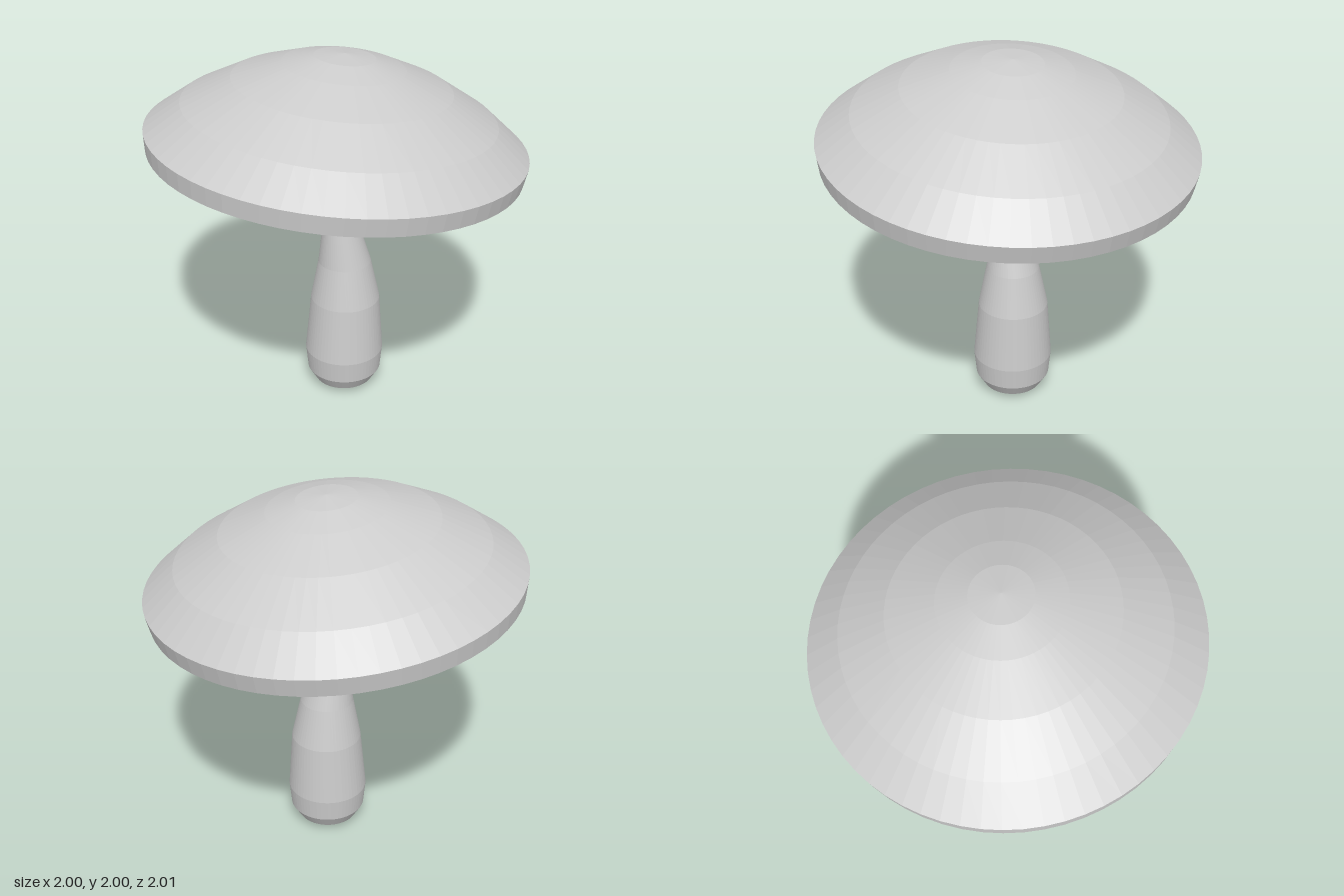
import * as THREE from 'three';

const material = new THREE.MeshStandardMaterial({ color: 0xcccccc, flatShading: true });

// Turned part from [radius, height] pairs listed from bottom to top
function turned(name, profile, sides) {
  const points = profile.map(([r, y]) => new THREE.Vector2(r, y));
  const mesh = new THREE.Mesh(new THREE.LatheGeometry(points, sides), material);
  mesh.name = name;
  return mesh;
}

export function createModel() {
  const model = new THREE.Group();
  model.name = 'mushroom';

  // Cap: shallow hollow underside, narrow upright rim, domed top, tilted sideways
  const cap = turned('cap', [
    [0, -0.09], [0.31, -0.11], [0.82, -0.134], [0.99, -0.098],
    [1.005, 0], [0.824, 0.146], [0.574, 0.289], [0.32, 0.387],
    [0.16, 0.433], [0, 0.45],
  ], 64);
  cap.position.y = 1.55;
  cap.rotation.z = -0.1;
  model.add(cap);

  // Stem rings: [radius, height, sideways offset of the centre]
  const rings = [
    [0, 0, 0.045], [0.165, 0.045, 0.042], [0.207, 0.115, 0.043],
    [0.219, 0.24, 0.043], [0.192, 0.57, 0.049], [0.145, 0.8, 0.045],
    [0.104, 1.0, 0.024], [0.086, 1.1, 0.014], [0.073, 1.25, 0.006],
    [0.088, 1.37, 0.005], [0.125, 1.415, 0.002], [0.165, 1.455, 0],
  ];
  const stem = turned('stem', rings, 64);

  // Bend the stem by shifting each ring sideways
  const position = stem.geometry.attributes.position;
  for (let i = 0; i < position.count; i++) {
    position.setX(i, position.getX(i) + rings[i % rings.length][2]);
  }
  stem.geometry.computeVertexNormals();
  model.add(stem);

  return model;
}
